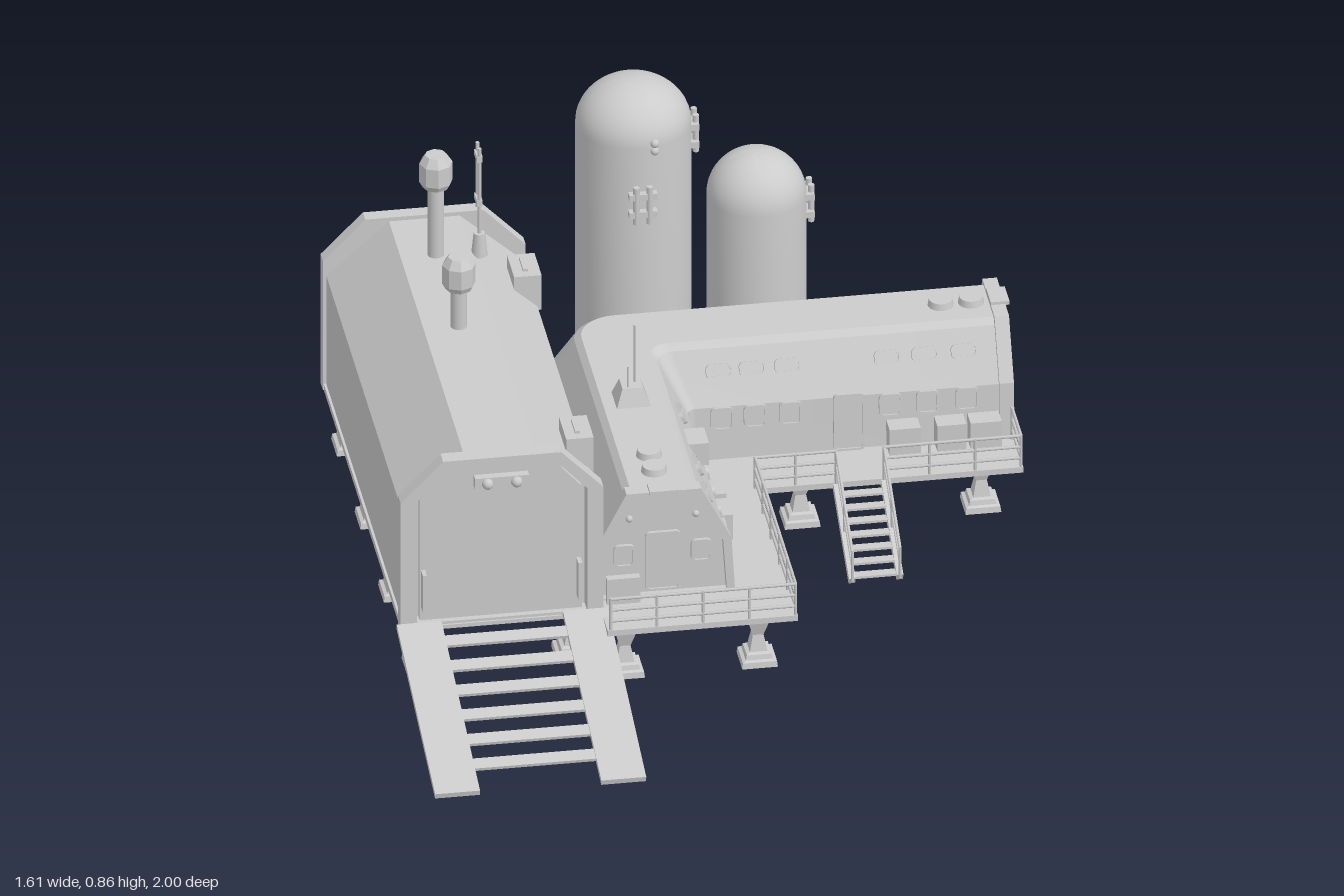
import * as THREE from 'three';
import { toCreasedNormals, mergeVertices } from 'three/addons/utils/BufferGeometryUtils.js';

const grey = new THREE.MeshStandardMaterial({ color: 0xcccccc, side: THREE.DoubleSide });
const V = (x, y, z) => new THREE.Vector3(x, y, z);

function add(parent, name, geo, x = 0, y = 0, z = 0) {
  const m = new THREE.Mesh(geo, grey);
  m.name = name;
  m.position.set(x, y, z);
  parent.add(m);
  return m;
}
const sub = (parent, name, x = 0, y = 0, z = 0, ry = 0) => {
  const g = new THREE.Group();
  g.name = name;
  g.position.set(x, y, z);
  g.rotation.y = ry;
  parent.add(g);
  return g;
};
// box given by its limits
const box = (p, name, x0, x1, y0, y1, z0, z1) =>
  add(p, name, new THREE.BoxGeometry(x1 - x0, y1 - y0, z1 - z0), (x0 + x1) / 2, (y0 + y1) / 2, (z0 + z1) / 2);
const cyl = (p, name, r0, r1, h, x, y, z, n = 16) =>
  add(p, name, new THREE.CylinderGeometry(r1, r0, h, n), x, y + h / 2, z);
function rod(p, name, a, b, r = 0.004) {
  const m = add(p, name, new THREE.CylinderGeometry(r, r, a.distanceTo(b), 6));
  m.position.copy(a).lerp(b, 0.5);
  m.quaternion.setFromUnitVectors(V(0, 1, 0), b.clone().sub(a).normalize());
}
const lathe = (pts, n, crease) =>
  toCreasedNormals(new THREE.LatheGeometry(pts.map(q => new THREE.Vector2(...q)), n), crease);
// symmetric outline from its right half, bottom to top
const outline = half => [...half, ...half.slice().reverse().map(([x, y]) => [-x, y])].map(q => new THREE.Vector2(...q));
function plate(half, depth, hole) {
  const s = new THREE.Shape(outline(half));
  if (hole) s.holes.push(new THREE.Path(outline(hole).reverse()));
  return new THREE.ExtrudeGeometry(s, { depth, bevelEnabled: false });
}
function roundRect(T, w, h, r) {
  const s = new T(), x = w / 2, y = h / 2;
  s.moveTo(-x + r, -y).lineTo(x - r, -y).absarc(x - r, -y + r, r, -Math.PI / 2, 0);
  s.absarc(x - r, y - r, r, 0, Math.PI / 2).absarc(-x + r, y - r, r, Math.PI / 2, Math.PI);
  s.absarc(-x + r, -y + r, r, Math.PI, Math.PI * 1.5);
  return s;
}
// framed pane lying on a wall that leans back by tilt
function pane(p, name, x, y, z, w, h, tilt = 0) {
  const g = sub(p, name, x, y, z);
  g.rotation.x = -tilt;
  const s = roundRect(THREE.Shape, w, h, 0.012);
  s.holes.push(roundRect(THREE.Path, w - 0.012, h - 0.012, 0.008));
  add(g, 'frame', new THREE.ExtrudeGeometry(s, { depth: 0.01, bevelEnabled: false, curveSegments: 4 }), 0, 0, -0.003);
  box(g, 'glass', -w / 2 + 0.005, w / 2 - 0.005, -h / 2 + 0.005, h / 2 - 0.005, -0.003, 0.002);
}

function hangar(root) {
  const g = sub(root, 'hangar', -0.556);
  const frame = [[0.244, 0.125], [0.244, 0.48], [0.142, 0.585]], door = [[0.205, 0.135], [0.205, 0.48], [0.145, 0.545]];
  add(g, 'hull', plate([[0.236, 0.13], [0.236, 0.44], [0.085, 0.575]], 1.11), 0, 0, -0.72);
  add(g, 'backWall', plate(frame, 0.035), 0, 0, -0.755);
  add(g, 'frontFrame', plate(frame, 0.04, door), 0, 0, 0.39);
  add(g, 'hangarDoor', plate([[0.195, 0.135], [0.195, 0.475], [0.14, 0.538]], 0.02), 0, 0, 0.39);
  box(g, 'floorSill', -0.242, 0.242, 0.125, 0.142, -0.75, 0.425);
  box(g, 'lampBar', -0.065, 0.065, 0.5, 0.53, 0.41, 0.43);
  for (const s of [-1, 1]) {
    add(g, 'lamp', new THREE.SphereGeometry(0.014, 10, 8), s * 0.035, 0.515, 0.432);
    box(g, 'doorHandle', s * 0.187 - 0.005, s * 0.187 + 0.005, 0.18, 0.28, 0.41, 0.438);
  }
  // equipment pods on the sloping roof edge
  for (const z of [-0.55, 0.22]) {
    box(g, 'roofPod', 0.18, 0.246, 0.43, 0.525, z - 0.053, z + 0.053);
    box(g, 'podHandle', 0.205, 0.217, 0.525, 0.532, z - 0.03, z + 0.03);
  }
  // vent masts
  const head = lathe([[0, 0], [0.032, 0], [0.04, 0.015], [0.04, 0.065], [0.026, 0.087], [0, 0.087]], 8, 0.3);
  for (const [z, y] of [[-0.55, 0.763], [-0.21, 0.68]]) {
    cyl(g, 'mast', 0.02, 0.02, y - 0.57, 0, 0.57, z, 12);
    add(g, 'mastHead', head, 0, y, z);
  }
  // twin antenna
  cyl(g, 'antennaBase', 0.02, 0.014, 0.06, 0.105, 0.565, -0.55, 10);
  for (const z of [-0.55, -0.58]) rod(g, 'antennaRod', V(0.105, z < -0.56 ? 0.68 : 0.6, z), V(0.105, 0.857, z), 0.005);
  for (const y of [0.7, 0.82]) box(g, 'antennaClip', 0.098, 0.112, y, y + 0.015, -0.585, -0.545);
}

const SECTION = [[0.163, 0.135], [0.155, 0.28], [0.09, 0.405], [0.075, 0.42]];

// end of a living wing, local +z pointing outwards
function wingEnd(root, x, z, ry) {
  const g = sub(root, 'wingEnd', x, 0, z, ry);
  const rim = [[0.172, 0.135], [0.163, 0.285], [0.09, 0.428]], inner = [[0.152, 0.145], [0.143, 0.28], [0.078, 0.41]];
  add(g, 'endFrame', plate(rim, 0.035, inner), 0, 0, -0.035);
  add(g, 'endWall', plate(inner, 0.015), 0, 0, -0.035);
  pane(g, 'door', 0, 0.23, -0.018, 0.085, 0.16);
  box(g, 'hood', -0.035, 0.035, 0.425, 0.435, -0.035, 0.01);
  for (const s of [-1, 1]) {
    pane(g, 'endWindow', s * 0.093, 0.25, -0.018, 0.05, 0.06);
    add(g, 'endLamp', new THREE.SphereGeometry(0.009, 8, 6), s * 0.08, 0.35, -0.018);
  }
}

function wings(root) {
  // cross-section swept along an L with a rounded corner
  const sec = [...SECTION, ...SECTION.slice().reverse().map(([o, y]) => [-o, y])], n = sec.length, steps = 8;
  const pos = [], idx = [], rows = steps + 3;
  for (let i = 0; i < rows; i++) for (const [o, y] of sec) {
    const r = 0.02 + (0.165 - o) * 0.3, a = (i - 1) / steps * Math.PI / 2, mx = -0.16 + o, mz = -0.385 + o;
    if (i === 0) pos.push(mx, y, 0.36);
    else if (i === rows - 1) pos.push(0.755, y, mz);
    else pos.push(mx + r - r * Math.cos(a), y, mz + r - r * Math.sin(a));
  }
  for (let i = 0; i < rows - 1; i++) for (let j = 0; j < n - 1; j++) {
    const a = i * n + j, b = a + n;
    idx.push(a, b, a + 1, b, b + 1, a + 1);
  }
  const geo = new THREE.BufferGeometry();
  geo.setAttribute('position', new THREE.Float32BufferAttribute(pos, 3));
  geo.setIndex(idx);
  add(root, 'livingWings', toCreasedNormals(mergeVertices(geo), 0.25));
  wingEnd(root, -0.16, 0.388, 0);
  wingEnd(root, 0.782, -0.385, Math.PI / 2);

  // windows: upper row on the slope, lower row on the wall
  const xs = [0.08, 0.16, 0.245, 0.485, 0.575, 0.67];
  const walls = [
    ['frontWall', 0, -0.385, 0, xs, xs],
    ['backWall', 0, -0.385, Math.PI, xs.map(x => -x - 0.03), xs.map(x => -x - 0.03)],
    ['innerWall', -0.16, 0, Math.PI / 2, [-0.29, -0.16, 0.085], [-0.3, -0.21, -0.12, -0.03, 0.09]],
  ];
  for (const [name, x, z, ry, up, low] of walls) {
    const g = sub(root, name, x, 0, z, ry);
    for (const t of up) pane(g, 'upperWindow', t, 0.357, 0.117, 0.065, 0.034, 0.48);
    for (const t of low) pane(g, 'lowerWindow', t, 0.25, 0.158, 0.055, 0.06, 0.07);
  }
  pane(root, 'sideDoor', 0.385, 0.215, -0.224, 0.075, 0.15, 0.06);

  // roof hatches, aerial box and wall units
  for (const [x, z] of [[0.632, -0.385], [0.705, -0.385], [-0.165, 0.2], [-0.165, 0.275]])
    cyl(root, 'roofHatch', 0.032, 0.028, 0.022, x, 0.415, z, 20);
  const aerial = add(root, 'aerialBox', new THREE.CylinderGeometry(0.035, 0.06, 0.05, 4), -0.165, 0.44, -0.065);
  aerial.geometry = aerial.geometry.rotateY(Math.PI / 4).toNonIndexed();
  aerial.geometry.computeVertexNormals();
  rod(root, 'aerial', V(-0.155, 0.45, -0.07), V(-0.155, 0.62, -0.07), 0.003);
  rod(root, 'aerial', V(-0.175, 0.45, -0.05), V(-0.175, 0.52, -0.05), 0.003);
  box(root, 'wallUnit', -0.06, 0.0, 0.305, 0.365, 0.0, 0.075);
  box(root, 'endUnit', 0.76, 0.797, 0.1, 0.152, -0.33, -0.275);
}

function deck(root) {
  const g = sub(root, 'deck');
  const s = new THREE.Shape([[-0.318, 0.545], [0.78, 0.545], [0.78, 0.07], [0.14, 0.07], [0.14, -0.53], [-0.318, -0.53]]
    .map(q => new THREE.Vector2(...q)));
  add(g, 'platform', new THREE.ExtrudeGeometry(s, { depth: 0.015, bevelEnabled: false }).rotateX(-Math.PI / 2), 0, 0.126, 0);
  // railings
  const runs = [[[-0.31, 0.525], [0.135, 0.525], [0.135, -0.075], [0.33, -0.075]], [[0.445, -0.075], [0.775, -0.075], [0.775, -0.205]]];
  for (const run of runs) for (let i = 0; i < run.length - 1; i++) {
    const a = V(run[i][0], 0, run[i][1]), b = V(run[i + 1][0], 0, run[i + 1][1]);
    const at = (t, y) => a.clone().lerp(b, t).setY(y), n = Math.ceil(a.distanceTo(b) / 0.13);
    for (const y of [0.165, 0.195, 0.225]) rod(g, 'rail', at(0, y), at(1, y));
    for (let k = 0; k <= n; k++) rod(g, 'railPost', at(k / n, 0.135), at(k / n, 0.228));
  }
  // storage boxes
  for (const [x0, x1, z0, z1] of [[0.475, 0.55, -0.225, -0.175], [0.59, 0.66, -0.225, -0.175], [0.67, 0.745, -0.225, -0.175],
    [0, 0.045, -0.025, 0.055], [0, 0.045, 0.075, 0.155], [-0.3, -0.22, 0.39, 0.41]])
    box(g, 'storageBox', x0, x1, 0.14, 0.21, z0, z1);
}

function stairs(root) {
  const g = sub(root, 'stairs');
  for (const x of [0.33, 0.445]) {
    const m = box(g, 'stringer', x - 0.008, x + 0.008, 0.057, 0.077, -0.075, 0.165);
    m.geometry = new THREE.BoxGeometry(0.016, 0.02, 0.265);
    m.rotation.x = Math.atan2(0.13, 0.24);
    rod(g, 'handrail', V(x, 0.225, -0.07), V(x, 0.085, 0.165));
    rod(g, 'midRail', V(x, 0.185, -0.07), V(x, 0.045, 0.165), 0.003);
    for (const t of [0, 0.5, 1]) rod(g, 'handrailPost', V(x, 0.135 - t * 0.13, -0.07 + t * 0.235), V(x, 0.225 - t * 0.14, -0.07 + t * 0.235));
  }
  for (let i = 0; i < 7; i++) box(g, 'step', 0.335, 0.44, 0.117 - i * 0.018, 0.123 - i * 0.018, -0.06 + i * 0.033, -0.035 + i * 0.033);
}

function ramp(root) {
  const g = sub(root, 'ramp', -0.556, 0.073, 0.715);
  g.rotation.x = Math.atan2(0.137, 0.57);
  for (const s of [-1, 1]) box(g, 'rampTread', s * 0.2 - 0.054, s * 0.2 + 0.054, -0.007, 0.007, -0.293, 0.293);
  for (let i = 0; i < 6; i++) box(g, 'rampRung', -0.15, 0.15, -0.005, 0.003, -0.247 + i * 0.085, -0.212 + i * 0.085);
}

function legs(root) {
  const spots = [[-0.27, 0.48], [0.05, 0.48], [-0.27, 0.145], [0.05, 0.145]];
  for (const x of [0.255, 0.69]) for (const z of [-0.15, -0.49]) spots.push([x, z]);
  for (const x of [-0.74, -0.38]) for (let i = 0; i < 4; i++) spots.push([x, -0.66 + i * 0.347]);
  // square foot, waist and flared top
  const q = Math.SQRT2;
  const geo = lathe([[0, 0], [0.043 * q, 0], [0.041 * q, 0.015], [0.033 * q, 0.018], [0.03 * q, 0.03], [0.021 * q, 0.033],
    [0.013 * q, 0.075], [0.025 * q, 0.115], [0.025 * q, 0.13]], 4, 0.1).rotateY(Math.PI / 4);
  for (const [x, z] of spots) add(root, 'leg', geo, x, 0, z);
}

function tank(root, x, z, r, top, fittings) {
  const g = sub(root, 'tank', x, 0, z), pts = [[0, 0.02], [r, 0.02], [r, 0], [r + 0.016, 0], [r + 0.016, 0.03], [r, 0.038]];
  for (let i = 0; i <= 12; i++) {
    const a = i / 12 * Math.PI / 2;
    pts.push([i === 12 ? 0 : r * Math.cos(a), top - 0.115 + 0.115 * Math.sin(a)]);
  }
  add(g, 'tankShell', lathe(pts, 40, 0.5));
  // pipe brackets on the wall, turned to their side
  for (const [ry, y] of fittings) {
    const f = sub(g, 'pipeBracket', 0, y, 0, ry);
    for (const s of [-1, 1]) {
      box(f, 'bracketBar', -0.034, 0.034, s * 0.024 - 0.008, s * 0.024 + 0.008, r - 0.008, r + 0.016);
      cyl(f, 'bracketPipe', 0.008, 0.008, 0.1, s * 0.016, -0.05, r + 0.01, 8);
    }
  }
  return g;
}

export function createModel() {
  const root = new THREE.Group();
  root.name = 'outpost';
  hangar(root);
  wings(root);
  deck(root);
  stairs(root);
  ramp(root);
  legs(root);
  const big = tank(root, -0.033, -0.845, 0.138, 0.838, [[0, 0.575], [Math.PI / 2, 0.685]]);
  for (const y of [0.715, 0.735]) add(big, 'valve', new THREE.SphereGeometry(0.011, 10, 8), 0.03, y, 0.135);
  tank(root, 0.257, -0.805, 0.119, 0.635, [[Math.PI / 2, 0.49]]);
  return root;
}
